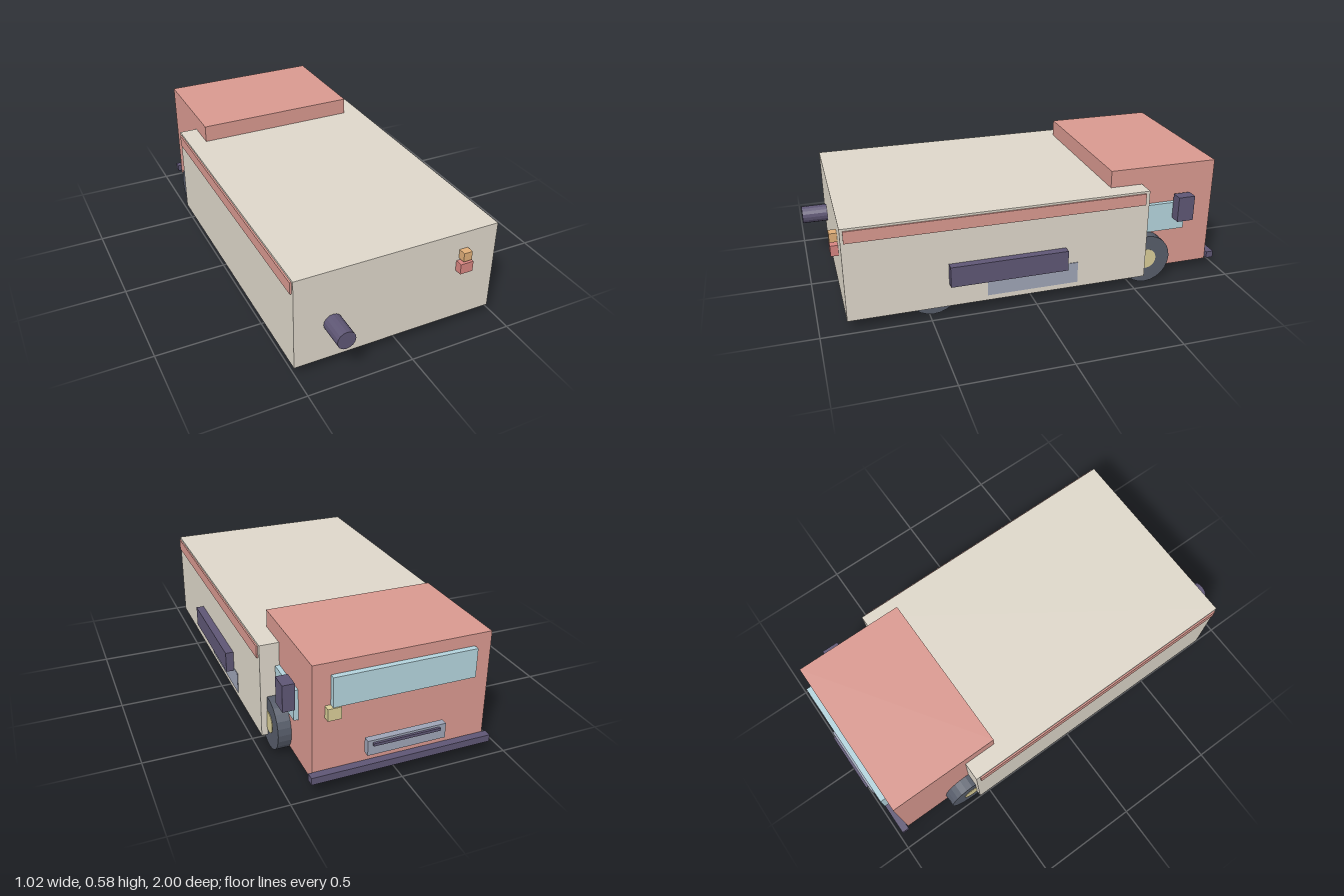
import * as THREE from 'three';

const paint = (color) => new THREE.MeshStandardMaterial({ color, flatShading: true });

export function createModel() {
  const group = new THREE.Group();
  const cream = paint(0xddd6c9), red = paint(0xd8988f), dark = paint(0x5e5674);
  const tyre = paint(0x565c69), tan = paint(0xd8cc97), glass = paint(0xb3d3dc);
  const slate = paint(0x9da3b5), orange = paint(0xdfae78), lampRed = paint(0xd68480);

  const add = (name, geometry, material) => {
    const mesh = new THREE.Mesh(geometry, material);
    mesh.name = name;
    group.add(mesh);
    return mesh;
  };

  // Box given by its extents along each axis
  const box = (name, material, [x0, x1], [y0, y1], [z0, z1]) =>
    add(name, new THREE.BoxGeometry(x1 - x0, y1 - y0, z1 - z0), material)
      .position.set((x0 + x1) / 2, (y0 + y1) / 2, (z0 + z1) / 2);

  // Cargo body and cab
  box('cargoBody', cream, [-0.505, 0.473], [0.047, 0.497], [-0.56, 0.875]);
  box('cab', red, [-0.417, 0.384], [0.043, 0.58], [-0.94, -0.4]);

  // Stripes along both sides of the body
  box('leftStripe', red, [0.47, 0.48], [0.43, 0.487], [-0.54, 0.862]);
  box('rightStripe', red, [-0.513, -0.503], [0.43, 0.487], [-0.54, 0.862]);

  // Side locker and the plate below it
  box('sideLocker', dark, [0.473, 0.511], [0.162, 0.262], [-0.148, 0.41]);
  box('sidePlate', slate, [0.471, 0.476], [0.073, 0.177], [-0.21, 0.23]);

  // Lamps and pipe on the end of the body
  box('orangeLamp', orange, [0.283, 0.325], [0.37, 0.413], [0.875, 0.911]);
  box('redLamp', lampRed, [0.272, 0.336], [0.307, 0.358], [0.875, 0.911]);
  const pipe = add('exhaustPipe', new THREE.CylinderGeometry(0.043, 0.043, 0.125, 16), dark);
  pipe.rotation.x = Math.PI / 2;
  pipe.position.set(-0.326, 0.231, 0.9375);

  // Cab windows, mirror and lamp
  box('sideWindow', glass, [0.384, 0.405], [0.247, 0.39], [-0.788, -0.565]);
  box('sideMirror', dark, [0.405, 0.46], [0.31, 0.435], [-0.807, -0.724]);
  box('windscreen', glass, [-0.34, 0.305], [0.39, 0.525], [-0.966, -0.94]);
  box('cabLamp', tan, [0.27, 0.33], [0.335, 0.39], [-0.971, -0.94]);

  // Bumper and grille
  box('bumper', dark, [-0.435, 0.402], [0.053, 0.086], [-0.978, -0.942]);
  box('grille', slate, [-0.2, 0.16], [0.14, 0.21], [-0.989, -0.958]);
  box('grilleSlot', dark, [-0.17, 0.138], [0.187, 0.2], [-1, -0.988]);

  // Wheels with hub caps on their outer sides
  for (const side of [-1, 1]) {
    for (const z of [-0.58, 0.48]) {
      const x = -0.017 + side * 0.42;
      const wheel = add('wheel', new THREE.CylinderGeometry(0.122, 0.122, 0.083, 24), tyre);
      wheel.rotation.z = Math.PI / 2;
      wheel.position.set(x, 0.122, z);
      const hub = add('hubCap', new THREE.CylinderGeometry(0.05, 0.05, 0.01, 20), tan);
      hub.rotation.z = Math.PI / 2;
      hub.position.set(x + side * 0.039, 0.125, z);
    }
  }
  return group;
}
